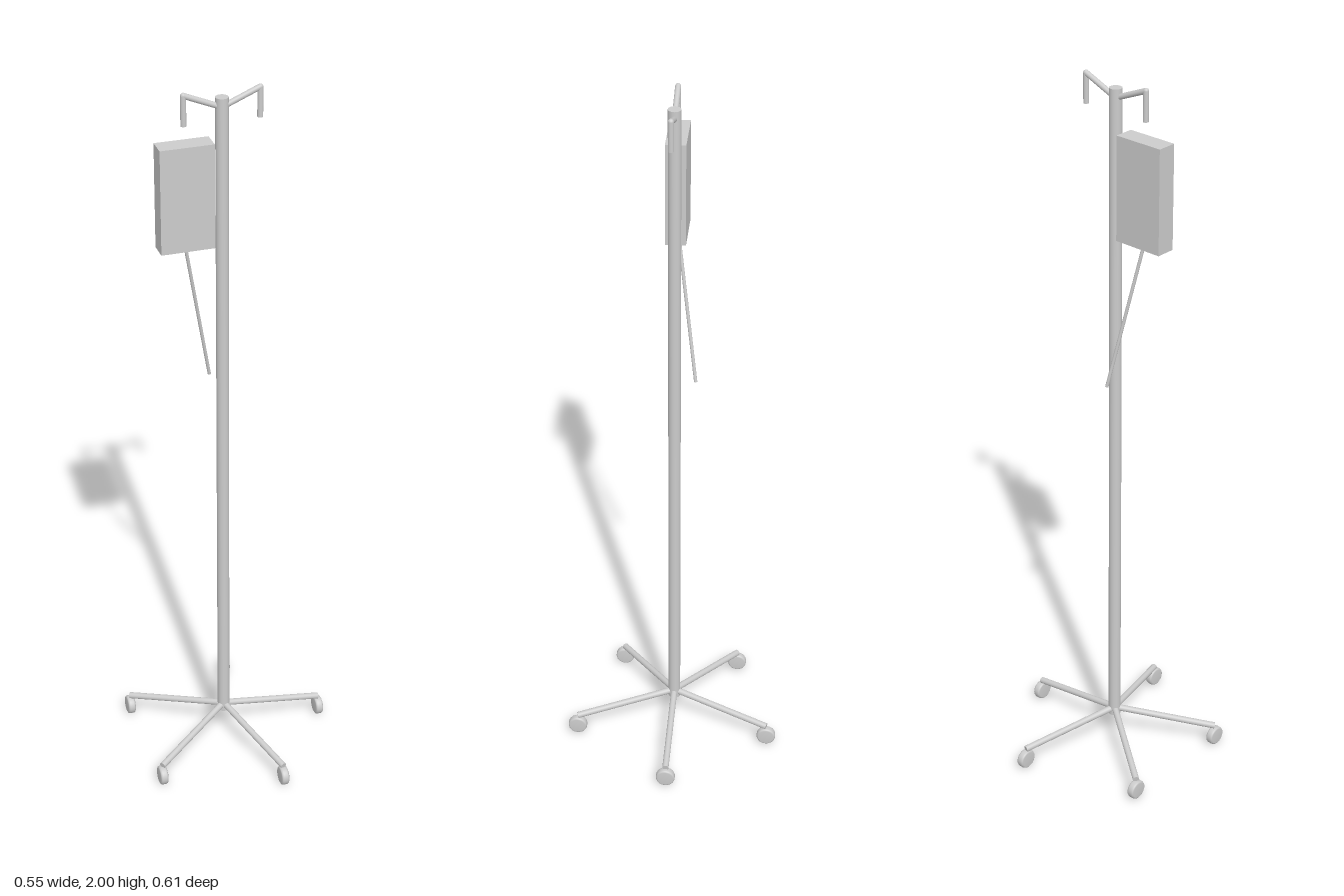
import * as THREE from 'three';

const material = new THREE.MeshStandardMaterial({ color: 0xcccccc });
const v = (x, y, z) => new THREE.Vector3(x, y, z);

export function createModel() {
  const group = new THREE.Group();
  const add = (name, geometry, position, parent = group) => {
    const mesh = new THREE.Mesh(geometry, material);
    mesh.name = name;
    mesh.position.copy(position);
    parent.add(mesh);
    return mesh;
  };
  // Round rod between two points
  const rod = (name, a, b, radius, parent = group) => {
    const dir = b.clone().sub(a);
    const geometry = new THREE.CylinderGeometry(radius, radius, dir.length(), 24);
    const mesh = add(name, geometry, a.clone().add(b).multiplyScalar(0.5), parent);
    mesh.quaternion.setFromUnitVectors(v(0, 1, 0), dir.normalize());
    return mesh;
  };

  const poleX = -0.03;
  rod('pole', v(poleX, 0.085, 0), v(poleX, 1.977, 0), 0.017);

  // Two hooks at the top: a rising arm and a short drop
  for (const side of [-1, 1]) {
    const hook = new THREE.Group();
    hook.name = side > 0 ? 'leftHook' : 'rightHook';
    group.add(hook);
    const bend = v(poleX + side * 0.1, 1.992, 0);
    rod('hookArm', v(poleX, 1.95, 0), bend, 0.0075, hook);
    rod('hookDrop', bend, v(bend.x, 1.912, 0), 0.0075, hook);
    add('hookBend', new THREE.SphereGeometry(0.0075, 16, 12), bend, hook);
  }

  // Five sloping legs, each on a wheel with rounded rims
  const wheelProfile = [
    [0, -0.011], [0.022, -0.011], [0.0255, -0.009], [0.027, -0.005],
    [0.027, 0.005], [0.0255, 0.009], [0.022, 0.011], [0, 0.011],
  ].map(([r, h]) => new THREE.Vector2(r, h));
  const wheelGeometry = new THREE.LatheGeometry(wheelProfile, 32).rotateZ(Math.PI / 2);
  for (let i = 0; i < 5; i++) {
    const angle = (i * 2 * Math.PI) / 5;
    const x = poleX + 0.29 * Math.cos(angle);
    const z = 0.29 * Math.sin(angle);
    rod('leg', v(poleX, 0.104, 0), v(x, 0.06, z), 0.009);
    add('wheel', wheelGeometry, v(x, 0.0275, z));
  }

  // Fluid bag beside the pole with its thin drip line
  add('bag', new THREE.BoxGeometry(0.143, 0.285, 0.054), v(-0.1285, 1.7225, 0));
  rod('dripLine', v(-0.13, 1.59, 0), v(-0.05, 1.17, -0.055), 0.0045);

  return group;
}
